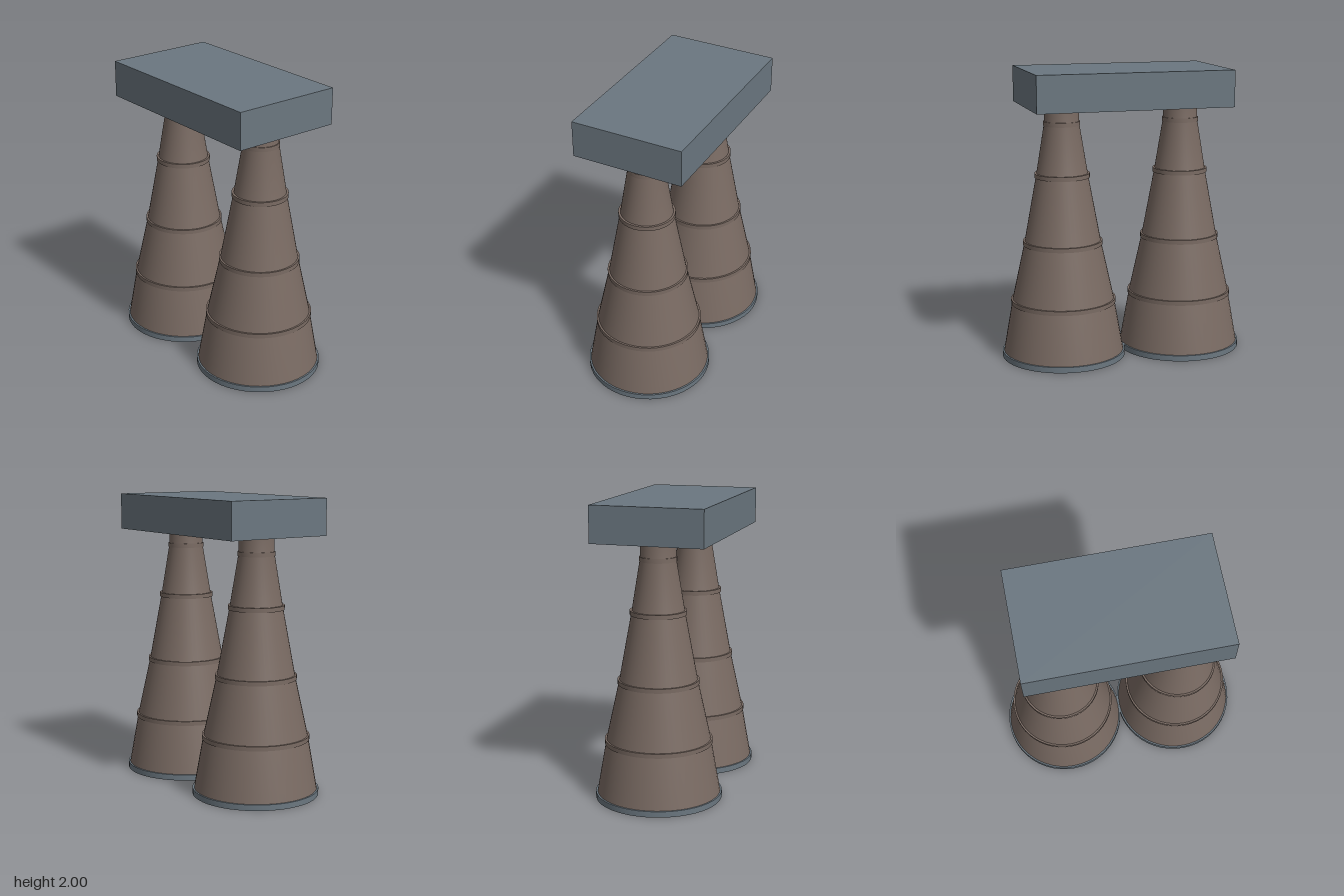
import * as THREE from 'three';
import { toCreasedNormals } from 'three/addons/utils/BufferGeometryUtils.js';

const SEGMENTS = 48;

// Spin a list of [radius, height] points round the y axis
function lathe(points) {
  const profile = points.map(([r, y]) => new THREE.Vector2(r, y));
  return toCreasedNormals(new THREE.LatheGeometry(profile, SEGMENTS), Math.PI / 6);
}

// Closed ring with a rectangular section
function ring(inner, outer, y0, y1) {
  return lathe([[inner, y0], [outer, y0], [outer, y1], [inner, y1], [inner, y0]]);
}

export function createModel() {
  const model = new THREE.Group();
  model.name = 'twinNozzles';

  const brown = new THREE.MeshStandardMaterial({ color: 0x7a6b63, side: THREE.DoubleSide });
  brown.name = 'warm brown metal';
  const grey = new THREE.MeshStandardMaterial({ color: 0x6b7780 });
  grey.name = 'blue grey metal';

  const add = (parent, name, geometry, material) => {
    const mesh = new THREE.Mesh(geometry, material);
    mesh.name = name;
    parent.add(mesh);
    return mesh;
  };

  // Mounting block on top
  add(model, 'mountBlock', new THREE.BoxGeometry(1.36, 0.25, 0.77), grey).position.y = 1.875;

  // Open bell: wide mouth, slightly curved wall, straight throat
  const bell = lathe([
    [0.422, 0.02], [0.355, 0.4], [0.265, 0.81], [0.178, 1.28], [0.119, 1.64], [0.119, 1.76],
  ]);

  // Stiffening bands: outer radius, centre height
  const bands = [[0.365, 0.396], [0.275, 0.808], [0.19, 1.278], [0.125, 1.635]]
    .map(([r, y]) => ring(r - 0.02, r, y - 0.015, y + 0.015));

  const lip = ring(0.402, 0.43, 0, 0.04);

  for (const side of [-1, 1]) {
    const nozzle = new THREE.Group();
    nozzle.name = side > 0 ? 'leftNozzle' : 'rightNozzle';
    nozzle.position.x = side * 0.425;
    add(nozzle, 'bell', bell, brown);
    bands.forEach((band, i) => add(nozzle, `band${i + 1}`, band, brown));
    add(nozzle, 'mouthLip', lip, grey);
    model.add(nozzle);
  }
  return model;
}
